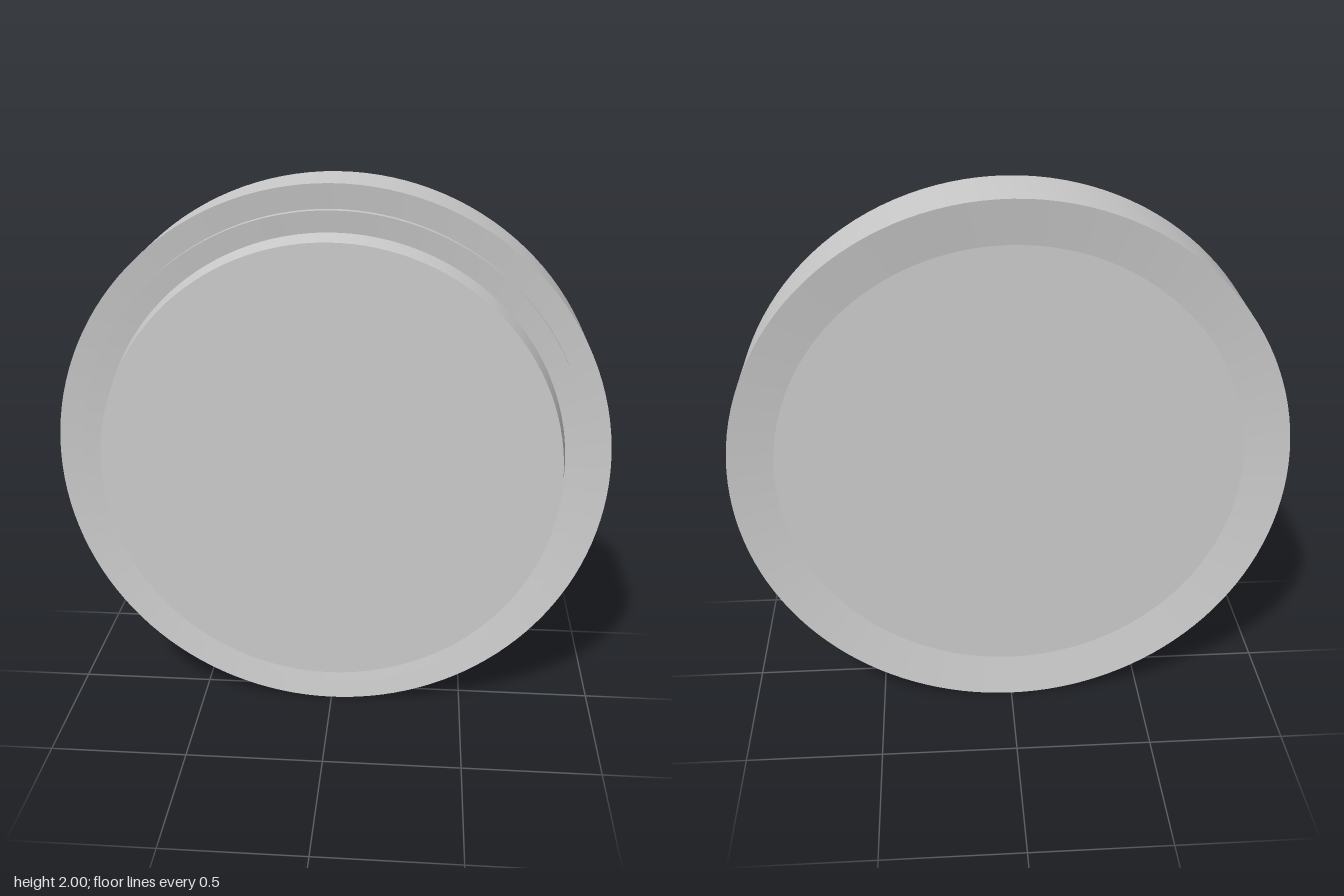
import * as THREE from 'three';
import { toCreasedNormals } from 'three/addons/utils/BufferGeometryUtils.js';

const SEGMENTS = 128;
const material = new THREE.MeshStandardMaterial({ color: 0xcccccc });

// Turned part: profile points are [radius, z], running from back to front
function turned(name, profile) {
  const points = profile.map(([r, z]) => new THREE.Vector2(r, z));
  const lathe = new THREE.LatheGeometry(points, SEGMENTS);
  lathe.rotateX(Math.PI / 2);
  const mesh = new THREE.Mesh(toCreasedNormals(lathe, THREE.MathUtils.degToRad(5)), material);
  mesh.name = name;
  return mesh;
}

export function createModel() {
  const group = new THREE.Group();
  group.name = 'roundCap';

  // Wide disc: shallow dished back, straight rim, front face sloping inward
  group.add(turned('body', [
    [0, -0.16], [0.84, -0.16], [1, -0.185], [1, 0.084], [0.913, 0.071],
  ]));

  // Thin raised step around the boss
  group.add(turned('step', [
    [0.913, 0.071], [0.913, 0.1], [0.837, 0.088],
  ]));

  // Slightly tapered round boss with a flat front
  group.add(turned('boss', [
    [0.837, 0.088], [0.823, 0.185], [0, 0.185],
  ]));

  group.position.y = 1;
  return group;
}
